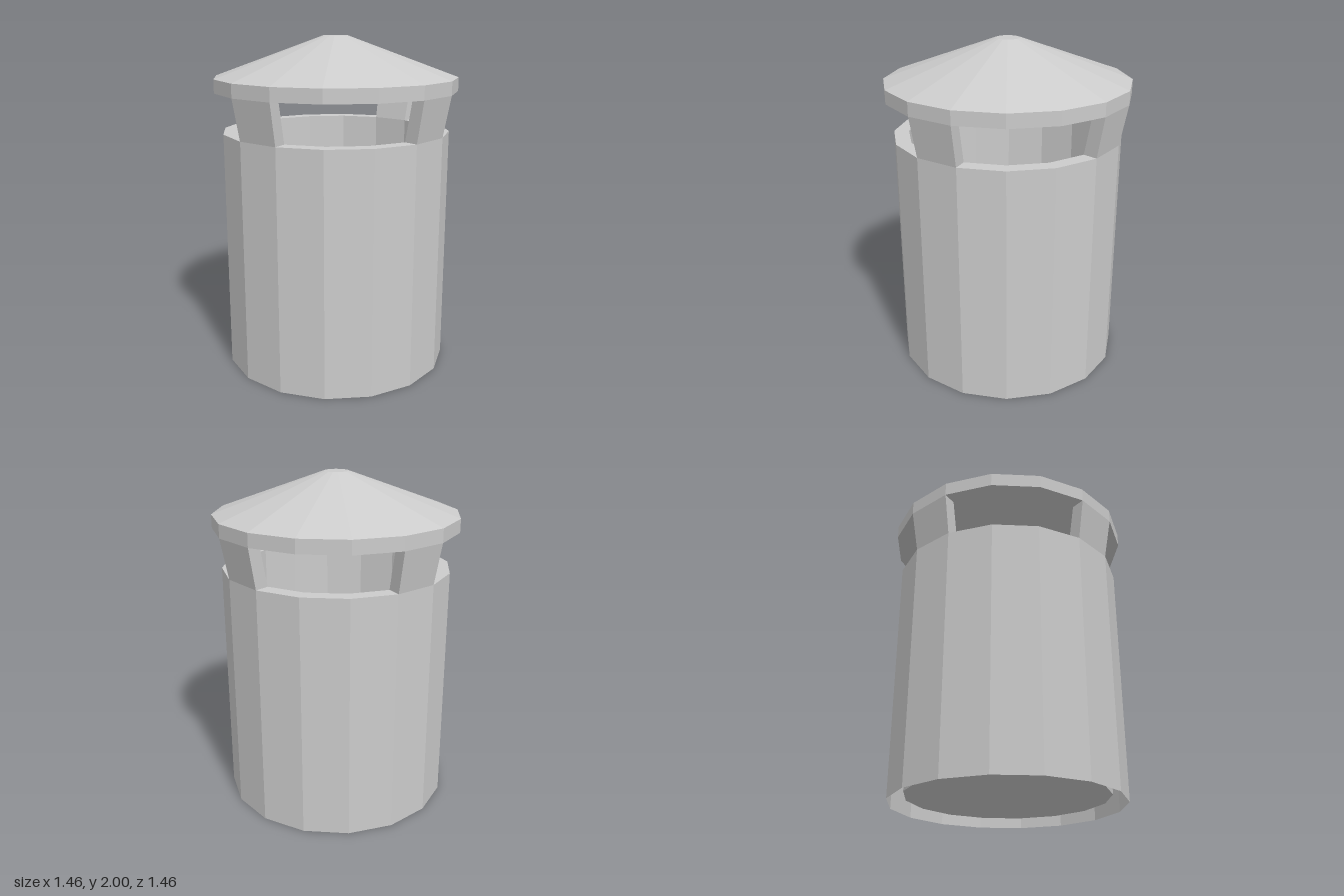
import * as THREE from 'three';

const SIDES = 16;
const STEP = (Math.PI * 2) / SIDES;
const material = new THREE.MeshStandardMaterial({
  color: 0xcccccc, flatShading: true, side: THREE.DoubleSide,
});

// Faceted solid of revolution from [radius, height] pairs
function turned(name, profile) {
  const points = profile.map(([r, y]) => new THREE.Vector2(r, y));
  const mesh = new THREE.Mesh(new THREE.LatheGeometry(points, SIDES), material);
  mesh.name = name;
  return mesh;
}

// Post one facet wide, flaring outwards from the body rim to the cap edge
function postGeometry() {
  const geometry = new THREE.BoxGeometry(1, 1, 1);
  const pos = geometry.attributes.position;
  for (let i = 0; i < pos.count; i++) {
    const top = pos.getY(i) > 0;
    const outer = pos.getZ(i) > 0;
    const angle = pos.getX(i) > 0 ? 2 * STEP : STEP;
    const r = outer ? (top ? 0.73 : 0.685) : (top ? 0.645 : 0.595);
    pos.setXYZ(i, r * Math.sin(angle), top ? 1.68 : 1.44, r * Math.cos(angle));
  }
  geometry.computeVertexNormals();
  return geometry;
}

export function createModel() {
  const model = new THREE.Group();
  model.name = 'ventChimney';

  // Hollow body: outer wall, rim, inner wall and floor, open underneath
  model.add(turned('body', [
    [0.685, 0], [0.685, 1.44], [0.595, 1.44], [0.595, 0.045], [0, 0.045],
  ]));

  // Conical cap with a short vertical edge and a small flat top
  model.add(turned('cap', [
    [0, 1.68], [0.73, 1.68], [0.73, 1.76], [0.072, 2], [0, 2],
  ]));

  // Four posts holding up the cap
  const geometry = postGeometry();
  for (let i = 0; i < 4; i++) {
    const post = new THREE.Mesh(geometry, material);
    post.name = `post${i + 1}`;
    post.rotation.y = (i * Math.PI) / 2;
    model.add(post);
  }
  return model;
}
